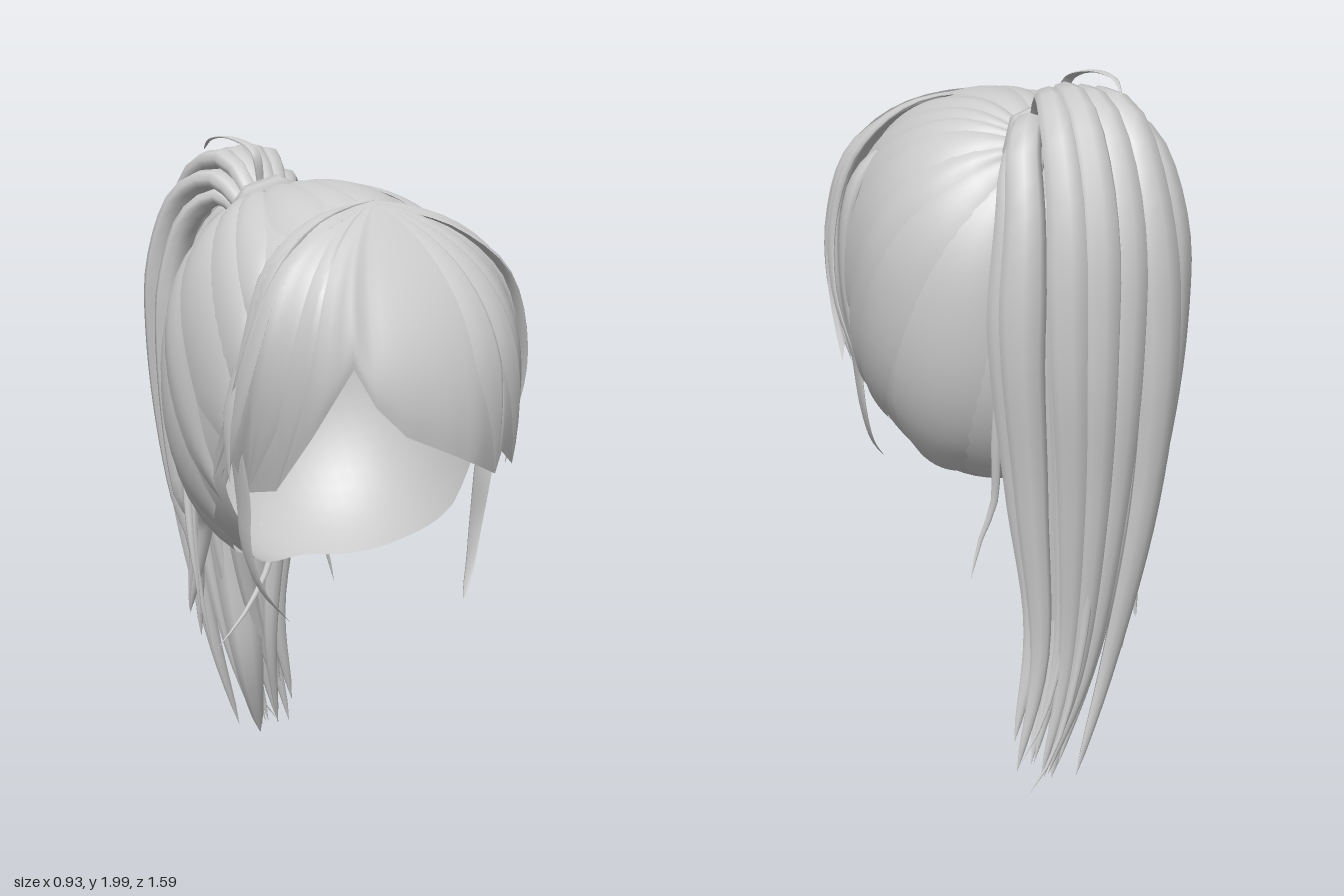
import * as THREE from 'three';

const V = (x, y, z) => new THREE.Vector3(x, y, z);
const material = new THREE.MeshStandardMaterial({ color: 0xcccccc, side: THREE.DoubleSide });
let seed = 7;
const rand = () => (seed = (seed * 16807) % 2147483647) / 2147483647;

// Surface from a rule fn(u, v) -> Vector3, u and v in 0..1
function grid(nu, nv, fn) {
  const pos = [], idx = [];
  for (let j = 0; j <= nv; j++)
    for (let i = 0; i <= nu; i++) pos.push(...fn(i / nu, j / nv).toArray());
  for (let j = 0; j < nv; j++)
    for (let i = 0; i < nu; i++) {
      const a = j * (nu + 1) + i, b = a + nu + 1;
      idx.push(a, b, a + 1, a + 1, b, b + 1);
    }
  const g = new THREE.BufferGeometry();
  g.setAttribute('position', new THREE.Float32BufferAttribute(pos, 3));
  g.setIndex(idx);
  g.computeVertexNormals();
  return g;
}

function add(parent, name, geometry) {
  const m = new THREE.Mesh(geometry, material);
  m.name = name;
  parent.add(m);
  return m;
}

// Tapered lock with an oval section swept along points; hint is the wide direction
function lock(points, width, thick, hint, root = 0.6, segs = 20) {
  const curve = new THREE.CatmullRomCurve3(points.map(p => V(...p)));
  return grid(8, segs, (u, v) => {
    const t = curve.getTangentAt(v);
    const side = hint.clone().addScaledVector(t, -hint.dot(t)).normalize();
    const up = V().crossVectors(t, side);
    const swell = v < 0.35 ? root + (1 - root) * v / 0.35 : Math.pow(1 - (v - 0.35) / 0.65, 0.65);
    const a = -u * Math.PI * 2;
    return curve.getPointAt(v)
      .addScaledVector(side, Math.cos(a) * width * swell)
      .addScaledVector(up, Math.sin(a) * thick * swell);
  });
}

// Head form: a slightly boxy ellipsoid, longer to the front
const centre = V(0, 1.31, 0.02);
function onHead(dir, lift = 0) {
  const p = 2.25, b = dir.y > 0 ? 0.565 : 0.59, c = dir.z > 0 ? 0.65 : 0.43;
  const k = Math.abs(dir.x / 0.455) ** p + Math.abs(dir.y / b) ** p + Math.abs(dir.z / c) ** p;
  return dir.clone().multiplyScalar(k ** (-1 / p) + lift).add(centre);
}
const half = [[0.2, 1.76, 0.42], [0.36, 1.57, 0.42], [0.41, 1.28, 0.38], [0.41, 1.06, 0.24],
  [0.35, 0.89, 0.22], [0.24, 0.8, 0.07], [0.1, 0.73, -0.06]];
const hairline = new THREE.CatmullRomCurve3([
  V(0, 1.82, 0.4), ...half.map(p => V(...p)), V(0, 0.73, -0.1),
  ...half.slice().reverse().map(p => V(-p[0], p[1], p[2]))], true);
const crown = V(0, 0.43, -0.28).normalize();

// Point on the scalp: u runs round the hairline, v from the hair tie to the edge
function scalp(u, v, lift) {
  const end = hairline.getPointAt(((u % 1) + 1) % 1).sub(centre).normalize();
  const w = crown.angleTo(end), s = Math.sin(w);
  const dir = crown.clone().multiplyScalar(Math.sin((1 - v) * w) / s)
    .addScaledVector(end, Math.sin(v * w) / s).normalize();
  return onHead(dir, lift);
}

function buildScalp(group) {
  add(group, 'scalpHair', grid(96, 24, (u, v) => scalp(u, v, -0.005)));
  // Flat, overlapping pulled-back clumps of uneven width
  const n = 18;
  for (let i = 0; i < n; i++) {
    const mid = (i + 0.5 + 0.4 * (rand() - 0.5)) / n, w = (0.45 + 0.25 * rand()) / n;
    const len = 0.88 + 0.12 * rand(), tilt = 0.03 * (rand() - 0.5), lift = 0.005 * rand();
    add(group, 'scalpClump', grid(8, 18, (s, v) => {
      const q = s * 2 - 1;
      const narrow = v > 0.85 ? 1 - (v - 0.85) * 3 : 1;
      return scalp(mid + q * w * narrow + tilt * v * v, v * len, lift + 0.009 * (1 - q * q) - 0.004);
    }));
  }
  // Loose lock standing out on the left side
  add(group, 'sideLock', lock([[0.22, 1.76, 0.2], [0.38, 1.65, 0.2], [0.435, 1.52, 0.2], [0.45, 1.3, 0.2],
    [0.425, 1.08, 0.17]], 0.05, 0.014, V(0, 0, 1), 0.4));
}

// Fringe edge from the right temple to the left, swept back at the sides
const fringeEdge = [[-0.45, 1.14, 0.27], [-0.44, 1.07, 0.24], [-0.425, 1.14, 0.34], [-0.37, 1.04, 0.31],
  [-0.33, 1.06, 0.42], [-0.31, 1.23, 0.6], [-0.25, 1.43, 0.73], [-0.2, 1.33, 0.76], [-0.12, 1.25, 0.78],
  [0, 1.2, 0.79], [0.09, 1.16, 0.78], [0.18, 1.12, 0.73], [0.2, 1.18, 0.73], [0.27, 1.13, 0.67],
  [0.285, 1.22, 0.66], [0.34, 1.1, 0.52], [0.365, 1.16, 0.48], [0.4, 1.03, 0.3], [0.43, 1.1, 0.28], [0.45, 1.05, 0.24]];
const part = V(0, 1.84, 0.36);

function fringePoint(u, v, lift = 0) {
  const n = fringeEdge.length - 1, f = Math.min(u * n, n - 1e-6), i = Math.floor(f);
  const end = V(...fringeEdge[i]).lerp(V(...fringeEdge[i + 1]), f - i);
  const k = Math.min(1, Math.abs(end.x) / 0.46);
  const front = Math.max(0.55, 0.2 + 0.62 * Math.sqrt(1 - k ** 2.5));
  const low = V(end.x * 1.06, Math.max(1.45, end.y + 0.1), front);
  const high = V(end.x * 0.95, 1.7 + 0.12 * k ** 3, 0.36 + (front - 0.36) * 0.68);
  const p = new THREE.CubicBezierCurve3(part, high, low, end).getPoint(v);
  return p.add(V(end.x, 0.1, front - 0.2).normalize().multiplyScalar(lift * Math.sin(Math.PI * v)));
}

function buildFringe(group) {
  add(group, 'fringe', grid((fringeEdge.length - 1) * 3, 18, (u, v) => fringePoint(u, v)));
  // Raised strands laid on the fringe, centred on its tips
  for (const [tip, w] of [[1, 0.9], [3, 1], [4, 0.8], [11, 0.9], [13, 1], [15, 0.9], [17, 0.9]])
    add(group, 'fringeStrand', grid(6, 16, (s, v) => {
      const q = s * 2 - 1, taper = v > 0.7 ? (1 - v) / 0.3 : 1;
      return fringePoint((tip + q * w * taper) / (fringeEdge.length - 1), v, 0.003 + 0.012 * (1 - q * q));
    }));
  for (const s of [-1, 1]) {
    // Bands covering the seam between fringe and scalp
    for (const k of [0, 1])
      add(group, 'sideBand', lock([[0, 1.835, 0.36], [s * 0.2, 1.775 + 0.01 * k, 0.42 - 0.02 * k],
        [s * 0.35, 1.65, 0.46 - 0.03 * k], [s * 0.42, 1.45, 0.46 - 0.03 * k],
        [s * 0.44, 1.24, 0.39 - 0.03 * k], [s * 0.415, 1.04 + k * 0.03, 0.26 - 0.02 * k]],
        0.055, 0.013, V(0, -0.2, 1), 0.35));
    // Loose temple wisps
    add(group, 'templeWisp', lock([[s * 0.42, 1.25, 0.32], [s * 0.385, 1.03, 0.32], [s * 0.37, 0.88, 0.31],
      [s * 0.335, 0.76, 0.34], [s * 0.28, 0.68, 0.4]], 0.05, 0.008, V(0, 0, 1), 0.8));
  }
  add(group, 'templeWisp', lock([[-0.44, 1.4, 0.4], [-0.462, 1.25, 0.39], [-0.46, 1.09, 0.4]], 0.03, 0.005, V(0, 0, 1)));
}

function buildPonytail(group) {
  const tie = add(group, 'hairTie', new THREE.TorusGeometry(0.1, 0.044, 8, 8));
  tie.position.set(-0.025, 1.76, -0.275);
  tie.quaternion.setFromUnitVectors(V(0, 0, 1), V(0, 0.55, -0.84).normalize());

  // Rows from inside to outside: depth, number of locks, spread
  for (const [d, count, spread] of [[0, 4, 0.75], [0.35, 4, 1], [0.7, 5, 1], [1, 4, 0.6]])
    for (let i = 0; i < count; i++) {
      const a = spread * (i / (count - 1) * 2 - 1), e = d * (1 - 0.2 * a * a) - 0.06 * rand() * d;
      const short = a < -0.7, j = rand() - 0.5;
      const tip = (short ? 0.36 : 0.03) + 0.22 * rand() * (1 - d);
      const size = 0.9 + 0.35 * rand();
      add(group, 'ponytailLock', lock([
        [-0.025 + 0.06 * a, 1.71 + 0.08 * d, -0.27],
        [-0.025 + 0.11 * a, 1.77 + 0.175 * e, -0.38 - 0.04 * d],
        [-0.025 + 0.17 * a, 1.7 + 0.22 * e, -0.43 - 0.16 * e],
        [-0.03 + 0.2 * a, 1.58 + 0.13 * e, -0.45 - 0.27 * e],
        [-0.03 + 0.21 * a + 0.02 * j, 1.3, -0.46 - 0.31 * e],
        [-0.03 + 0.17 * a + 0.03 * j, 0.85, -0.46 - 0.27 * e],
        [(short ? -0.06 : 0.01) + 0.1 * a + 0.03 * j, tip + 0.33, -0.5 - 0.17 * e],
        [short ? -0.15 + 0.06 * j : 0.1 + 0.07 * a + 0.05 * j, tip, -0.57 - 0.08 * e + 0.04 * j]],
        0.056 * size, 0.039 * size, V(1, 0, 0.35 * a), 0.5, 30));
    }
  // Broad core lock that carries the lower point of the tail
  add(group, 'ponytailCore', lock([[-0.02, 1.76, -0.3], [-0.02, 1.82, -0.45], [-0.02, 1.55, -0.57], [-0.02, 1.1, -0.59],
    [-0.01, 0.65, -0.57], [0.02, 0.3, -0.55], [0.09, 0.01, -0.61]], 0.14, 0.1, V(1, 0, 0), 0.4, 30));
  // Thin stray wisps
  for (const [x0, x1, x2, y, z] of [[-0.2, -0.25, -0.22, 0.5, -0.38], [-0.16, -0.22, -0.16, 0.36, -0.42],
    [0.14, 0.19, 0.26, 0.56, -0.4], [0.1, 0.06, 0.2, 0.1, -0.66], [0.05, 0.03, 0.2, 0.01, -0.7],
    [0.08, 0.06, -0.14, 0.37, -0.44]])
    add(group, 'strayWisp', lock([[x0 * 0.3, 1.7, -0.32], [x0, 1.5, z - 0.04], [x1, 1.0, z - 0.03],
      [x1, (y + 1) / 2, z], [(x1 + x2) / 2, y + 0.12, z + 0.01], [x2, y, z]], 0.022, 0.014, V(1, 0, 0.5)));
  add(group, 'flyaway', lock([[-0.04, 1.84, -0.3], [-0.06, 1.95, -0.3], [-0.09, 1.99, -0.4], [-0.11, 1.985, -0.52],
    [-0.1, 1.95, -0.6]], 0.018, 0.005, V(1, 0, 0)));
}

export function createModel() {
  const model = new THREE.Group();
  model.name = 'ponytailHair';
  for (const [name, build] of [['scalp', buildScalp], ['fringeGroup', buildFringe], ['ponytail', buildPonytail]]) {
    const g = new THREE.Group();
    g.name = name;
    build(g);
    model.add(g);
  }
  return model;
}
